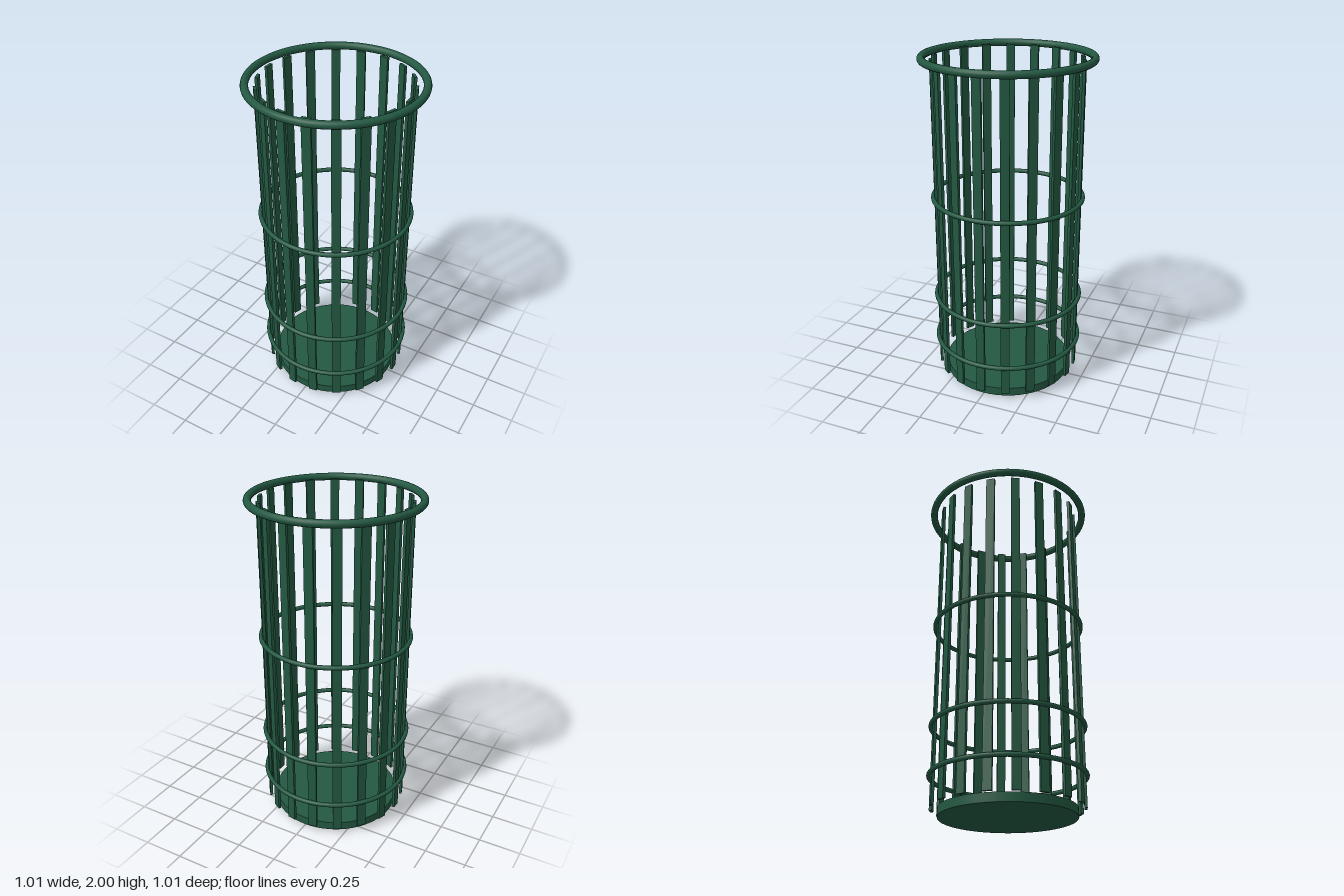
import * as THREE from 'three';

export function createModel() {
  const group = new THREE.Group();
  group.name = 'wasteBasket';
  const green = new THREE.MeshStandardMaterial({ color: 0x235842 });
  green.name = 'dark green';

  const add = (name, geometry, parent = group) => {
    const mesh = new THREE.Mesh(geometry, green);
    mesh.name = name;
    parent.add(mesh);
    return mesh;
  };

  // Solid base disc
  add('base', new THREE.CylinderGeometry(0.39, 0.39, 0.052, 64)).position.y = 0.026;

  // Horizontal hoops: thick top rim and three thin bands
  const hoop = (name, y, radius, tube) => {
    const geometry = new THREE.TorusGeometry(radius, tube, 16, 96).rotateX(Math.PI / 2);
    add(name, geometry).position.y = y;
  };
  hoop('topRim', 1.978, 0.484, 0.022);
  hoop('upperBand', 1.16, 0.444, 0.0135);
  hoop('middleBand', 0.52, 0.444, 0.0135);
  hoop('lowerBand', 0.23, 0.444, 0.0135);

  // Upright flat slats spaced around the basket
  const slats = new THREE.Group();
  slats.name = 'slats';
  group.add(slats);
  const count = 18, bottom = 0.048, top = 1.976;
  const slatGeometry = new THREE.BoxGeometry(0.017, top - bottom, 0.052);
  for (let i = 0; i < count; i++) {
    const angle = (i / count) * Math.PI * 2;
    const slat = add('slat', slatGeometry, slats);
    slat.position.set(Math.cos(angle) * 0.429, (top + bottom) / 2, -Math.sin(angle) * 0.429);
    slat.rotation.y = angle;
  }
  return group;
}
